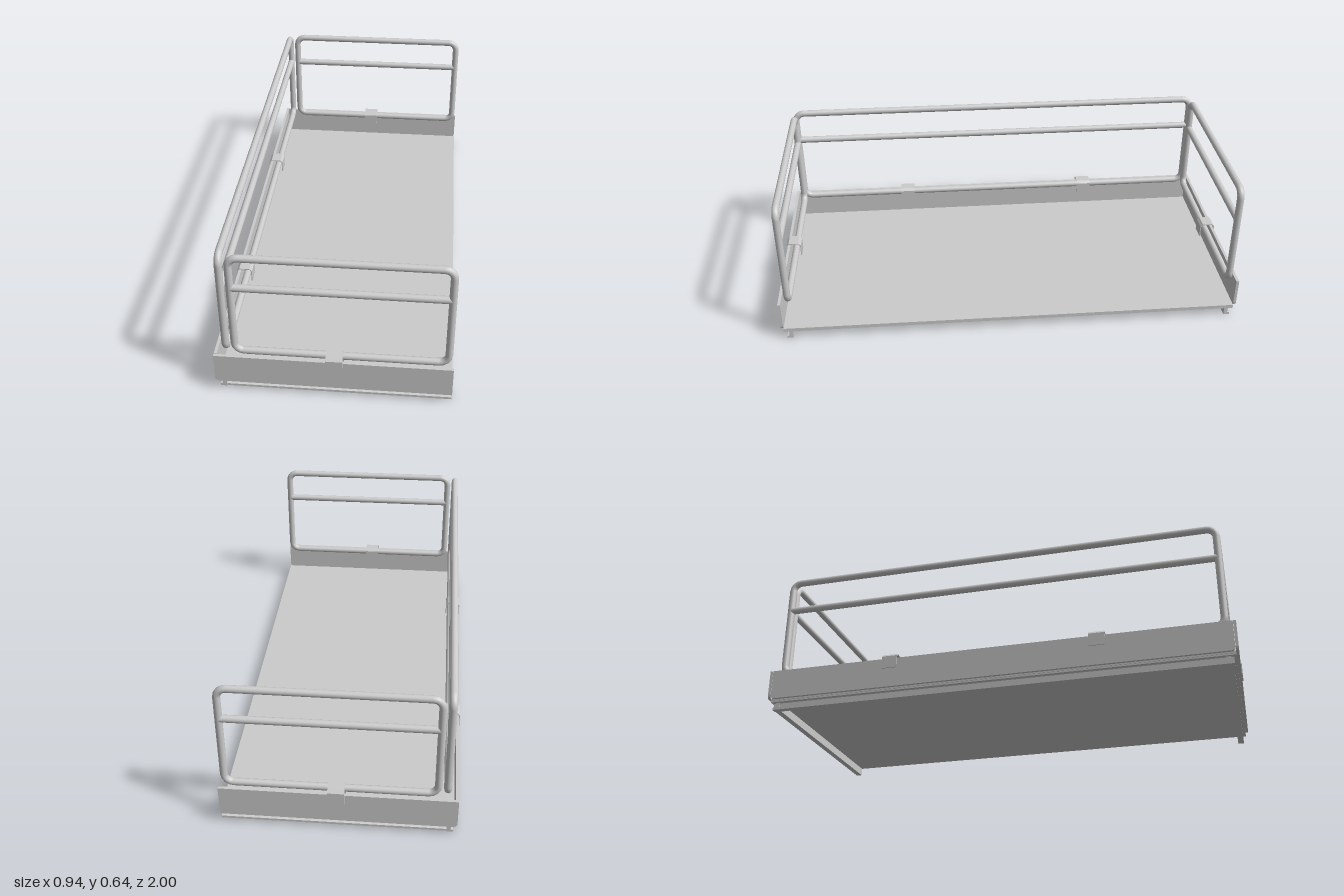
import * as THREE from 'three';

const material = new THREE.MeshStandardMaterial({ color: 0xcccccc });
const TUBE = 0.015;

function add(parent, name, geometry, x = 0, y = 0, z = 0) {
  const mesh = new THREE.Mesh(geometry, material);
  mesh.name = name;
  mesh.position.set(x, y, z);
  parent.add(mesh);
  return mesh;
}

// Extrudes a [outward, y] cross-section along x, centred on x = 0
function profileAlongX(points, length) {
  const shape = new THREE.Shape(points.map(([z, y]) => new THREE.Vector2(z, y)));
  const geometry = new THREE.ExtrudeGeometry(shape, { depth: length, bevelEnabled: false });
  return geometry.translate(0, 0, -length / 2).rotateY(-Math.PI / 2);
}

// Flat board with rounded bottom corners
function toeBoard(width, thickness) {
  const w = width / 2, top = 0.177, bottom = 0.048, r = 0.016;
  const s = new THREE.Shape();
  s.moveTo(-w, top);
  s.lineTo(-w, bottom + r);
  s.quadraticCurveTo(-w, bottom, -w + r, bottom);
  s.lineTo(w - r, bottom);
  s.quadraticCurveTo(w, bottom, w, bottom + r);
  s.lineTo(w, top);
  return new THREE.ExtrudeGeometry(s, { depth: thickness, bevelEnabled: false, curveSegments: 4 })
    .translate(0, 0, -thickness);
}

// Closed tube loop with rounded corners and one middle bar
function guardRail(width) {
  const rail = new THREE.Group();
  rail.name = 'guardRail';
  const w = width / 2, low = 0.179, high = 0.63, r = 0.038;
  const bar = (name, length, x, y, horizontal) => {
    const mesh = add(rail, name, new THREE.CylinderGeometry(TUBE, TUBE, length, 16), x, y);
    if (horizontal) mesh.rotation.z = Math.PI / 2;
  };
  bar('topRail', width - 2 * r, 0, high, true);
  bar('middleRail', width, 0, 0.49, true);
  bar('bottomRail', width - 2 * r, 0, low, true);
  for (const s of [-1, 1]) bar('post', high - low - 2 * r, s * w, (high + low) / 2, false);
  [[1, 1], [-1, 1], [-1, -1], [1, -1]].forEach(([sx, sy], i) => {
    const corner = add(rail, 'railCorner', new THREE.TorusGeometry(r, TUBE, 16, 4, Math.PI / 2),
      sx * (w - r), sy > 0 ? high - r : low + r);
    corner.rotation.z = i * Math.PI / 2;
  });
  return rail;
}

// Bent strap that hooks the rail over the toe board
const clipProfile = [
  [0.004, 0.133], [0.004, 0.187], [-0.007, 0.198], [-0.051, 0.198], [-0.062, 0.187], [-0.062, 0.135],
  [-0.058, 0.135], [-0.058, 0.185], [-0.050, 0.194], [-0.008, 0.194], [0, 0.185], [0, 0.133],
];

// Stepped edge channel under the deck
const channelProfile = [
  [0, 0.047], [0, 0.041], [-0.008, 0.038], [-0.014, 0.031], [-0.014, 0.012],
  [-0.004, 0.01], [-0.004, 0], [-0.03, 0], [-0.03, 0.047],
];

// One guarded side, facing +z before it is turned into place
function guardedSide(o) {
  const side = new THREE.Group();
  side.name = o.name;
  add(side, 'toeBoard', toeBoard(o.boardWidth, 0.012), 0, 0, o.distance);
  add(side, 'edgeChannel', profileAlongX(channelProfile, o.channelWidth), o.channelShift, 0, o.channel);
  const rail = guardRail(o.railWidth);
  rail.position.set(o.railShift, 0, o.distance - 0.043);
  side.add(rail);
  for (const x of o.clips) add(side, 'railClip', profileAlongX(clipProfile, 0.066), x, 0, o.distance);
  side.rotation.y = o.angle;
  return side;
}

export function createModel() {
  const model = new THREE.Group();
  model.name = 'guardedPlatform';

  // Deck plate
  add(model, 'deck', new THREE.BoxGeometry(0.924, 0.016, 1.968), 0.006, 0.042, 0);

  // Two short ends; the +x side stays open
  for (const s of [1, -1]) {
    model.add(guardedSide({
      name: s > 0 ? 'frontEnd' : 'backEnd', angle: s > 0 ? 0 : Math.PI,
      distance: 0.996, boardWidth: 0.934, channel: 0.976, channelWidth: 0.914, channelShift: s * 0.011,
      railWidth: 0.835, railShift: s * 0.03, clips: [s * 0.006],
    }));
  }

  // Long side
  model.add(guardedSide({
    name: 'rightSide', angle: -Math.PI / 2,
    distance: 0.467, boardWidth: 1.966, channel: 0.457, channelWidth: 1.95, channelShift: 0,
    railWidth: 1.905, railShift: 0, clips: [-0.443, 0.443],
  }));

  return model;
}
